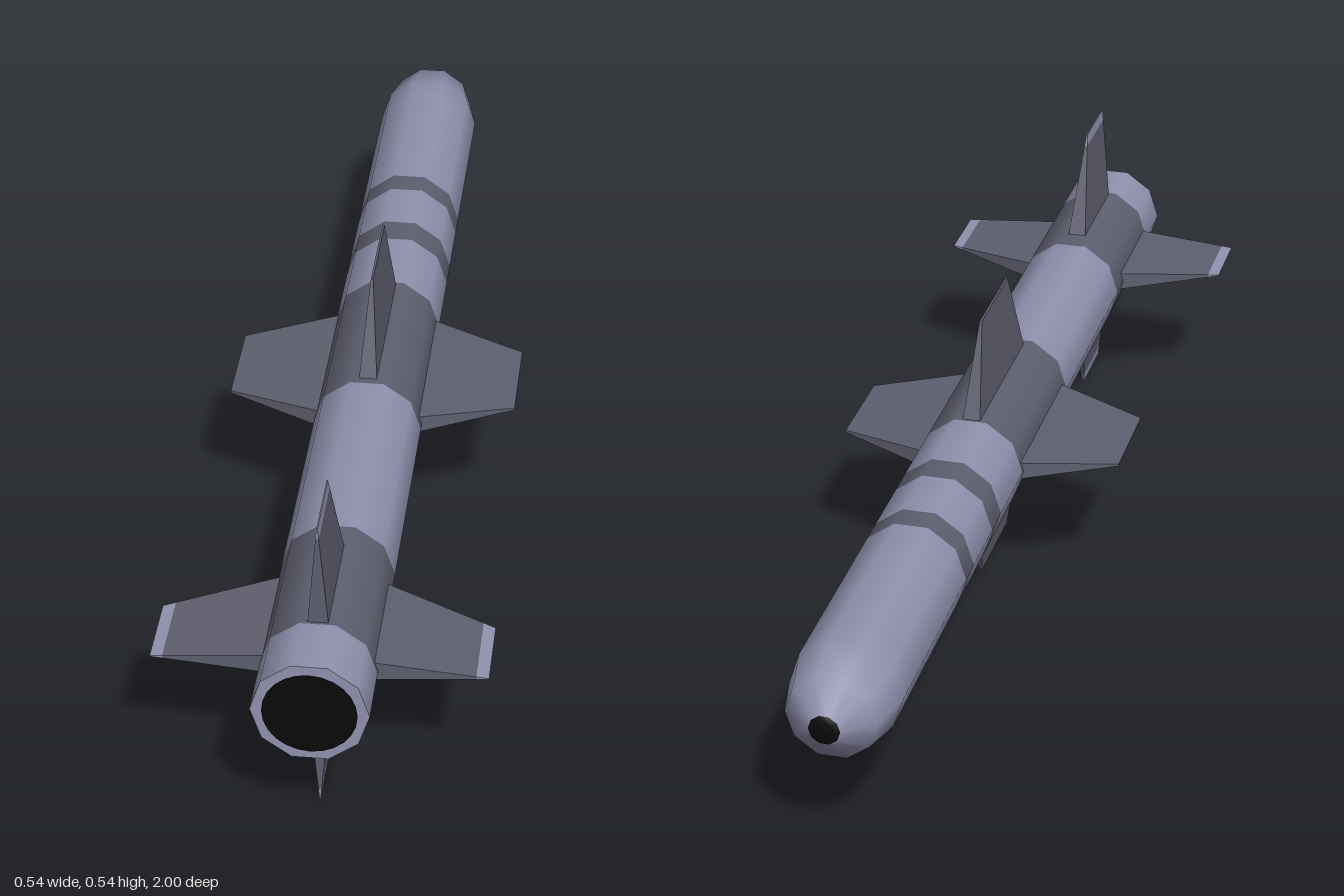
import * as THREE from 'three';

const paint = (name, color) => {
  const m = new THREE.MeshStandardMaterial({ color });
  m.name = name;
  return m;
};

export function createModel() {
  const light = paint('lightGrey', 0x9292b0);
  const dark = paint('darkGrey', 0x5f6070);
  const black = paint('black', 0x0a0a0a);

  const R = 0.0936, SIDES = 10;
  const model = new THREE.Group();
  model.name = 'finnedCylinder';
  const axis = new THREE.Group(); // origin on the body axis
  axis.name = 'body';
  axis.position.set(-0.003, 0.268, 0);
  model.add(axis);

  const add = (name, geometry, material, parent = axis) => {
    const mesh = new THREE.Mesh(geometry, material);
    mesh.name = name;
    parent.add(mesh);
    return mesh;
  };

  // Ten-sided section turned about the z axis; points are [radius, z], from tail to nose
  const turned = (name, points, material) => {
    const profile = points.map(([r, z]) => new THREE.Vector2(r, -z));
    const mesh = add(name, new THREE.LatheGeometry(profile, SIDES, Math.PI / 2), material);
    mesh.rotation.x = -Math.PI / 2;
  };

  // Body tube with dark bands
  const cuts = [0.998, 0.89, 0.63, 0.21, -0.12, -0.27, -0.33, -0.45, -0.5];
  for (let i = 0; i < cuts.length - 1; i++) {
    turned(i % 2 ? 'darkBand' : 'bodySection', [[R, cuts[i]], [R, cuts[i + 1]]], i % 2 ? dark : light);
  }

  // Rounded nose with a small black tip
  turned('nose', [[R, -0.5], [R, -0.82], [R, -0.875], [0.076, -0.955], [0.026, -0.994]], light);
  turned('noseTip', [[0.026, -0.994], [0.018, -1], [0, -1]], black);

  // Tail face and black exhaust opening
  add('tailFace', new THREE.CircleGeometry(R, SIDES), light).position.z = 0.998;
  add('exhaust', new THREE.CircleGeometry(0.075, 24), black).position.z = 1;

  // Tapered slab growing along +y between two stations {r, back, front, half}
  const slab = (a, b) => {
    const g = new THREE.BoxGeometry(2, 2, 2);
    const p = g.attributes.position;
    for (let i = 0; i < p.count; i++) {
      const s = p.getY(i) < 0 ? a : b;
      p.setXYZ(i, p.getX(i) * s.half, s.r, p.getZ(i) > 0 ? s.back : s.front);
    }
    const flat = g.toNonIndexed();
    flat.computeVertexNormals();
    return flat;
  };
  const between = (a, b, r) => {
    const t = (r - a.r) / (b.r - a.r), s = {};
    for (const k in a) s[k] = a[k] + (b[k] - a[k]) * t;
    return s;
  };

  // Four fins around the body; the tail set has light tips
  const finSet = (name, root, tip, tipStart) => {
    for (let i = 0; i < 4; i++) {
      const fin = new THREE.Group();
      fin.name = name;
      fin.rotation.z = i * Math.PI / 2;
      axis.add(fin);
      const end = tipStart ? between(root, tip, tipStart) : tip;
      add(name + 'Blade', slab(root, end), dark, fin);
      if (tipStart) add(name + 'Tip', slab(end, tip), light, fin);
    }
  };
  finSet('middleFin',
    { r: 0.07, back: 0.203, front: -0.122, half: 0.017 },
    { r: 0.25, back: 0.13, front: -0.05, half: 0.002 });
  finSet('tailFin',
    { r: 0.07, back: 0.885, front: 0.672, half: 0.018 },
    { r: 0.268, back: 0.885, front: 0.755, half: 0.001 }, 0.248);

  return model;
}
